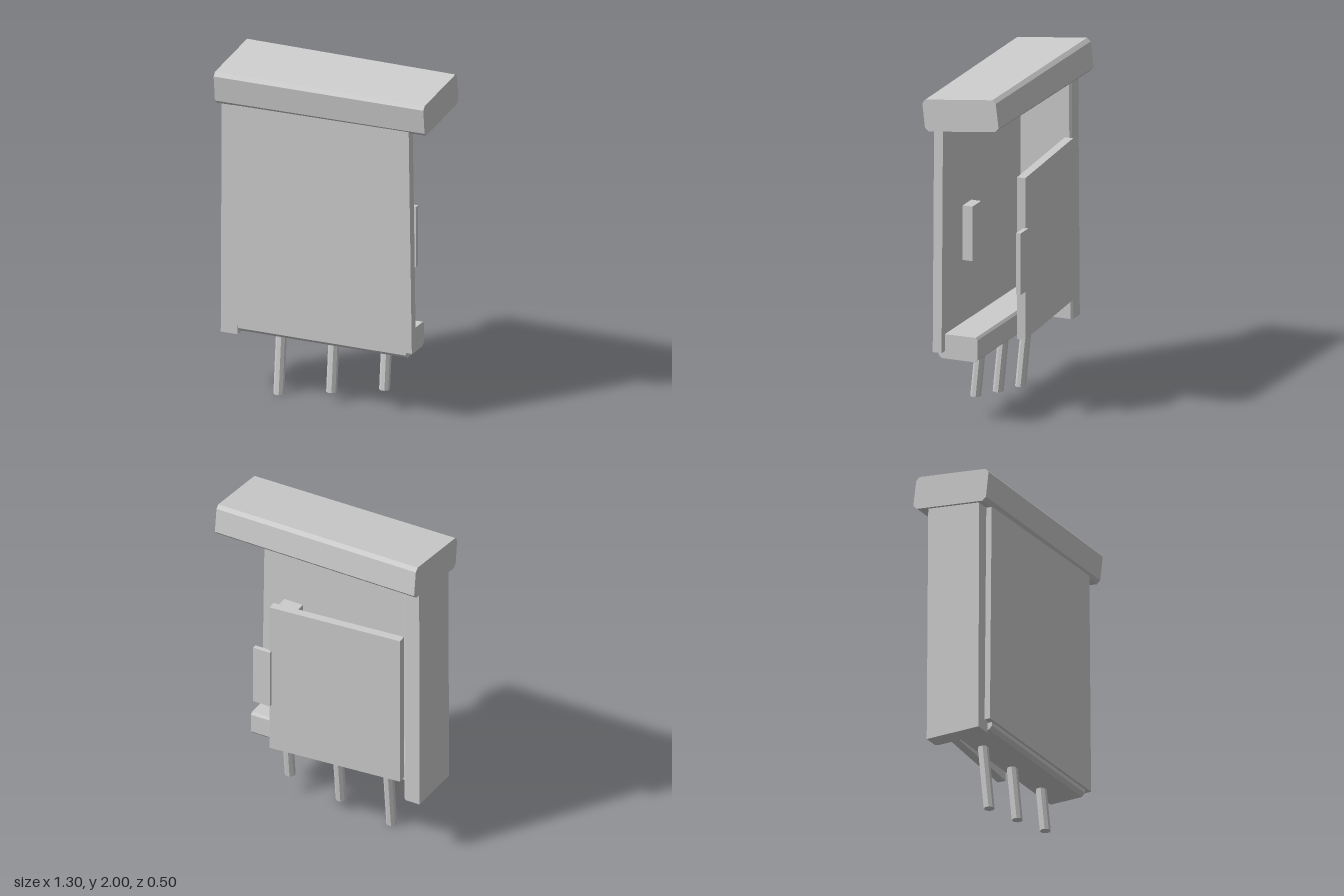
import * as THREE from 'three';

const steel = new THREE.MeshStandardMaterial({ color: 0xcccccc });
steel.name = 'pale grey steel';

function part(name, geometry) {
  const mesh = new THREE.Mesh(geometry, steel);
  mesh.name = name;
  return mesh;
}

function extrude(points, depth) {
  const shape = new THREE.Shape(points.map(([a, b]) => new THREE.Vector2(a, b)));
  const g = new THREE.ExtrudeGeometry(shape, { depth, bevelEnabled: false });
  return g.translate(0, 0, -depth / 2);
}

// Profile given as [z, y], swept along x
const sweepX = (points, length) => extrude(points, length).rotateY(-Math.PI / 2);

// Profile given as [x, z], swept from y0 to y1
const sweepY = (points, y0, y1) =>
  extrude(points.map(([x, z]) => [x, -z]), y1 - y0)
    .rotateX(-Math.PI / 2).translate(0, (y0 + y1) / 2, 0);

function block(x0, x1, y0, y1, z0, z1) {
  return new THREE.BoxGeometry(x1 - x0, y1 - y0, z1 - z0)
    .translate((x0 + x1) / 2, (y0 + y1) / 2, (z0 + z1) / 2);
}

// Move every vertex by a rule, then restore flat normals
function reshape(geometry, rule) {
  const g = geometry.index ? geometry.toNonIndexed() : geometry;
  const p = g.attributes.position;
  const v = new THREE.Vector3();
  for (let i = 0; i < p.count; i++) {
    rule(v.fromBufferAttribute(p, i));
    p.setXYZ(i, v.x, v.y, v.z);
  }
  g.computeVertexNormals();
  return g;
}

export function createModel() {
  const model = new THREE.Group();
  model.name = 'cabinet';

  // Sloping roof with chamfered edges, slightly smaller at its left end
  const roof = sweepX([
    [0.232, 1.951], [0.252, 1.928], [0.235, 1.777], [0.212, 1.757],
    [-0.215, 1.806], [-0.239, 1.83], [-0.22, 1.98], [-0.198, 2.0],
  ], 1.298);
  model.add(part('roof', reshape(roof, (v) => {
    const s = v.x > 0 ? 0.96 : 1;
    v.z *= s;
    v.y = 1.8785 + (v.y - 1.8785) * s;
  })));

  // Front panel, wider towards the bottom
  const front = block(-0.57, 0.565, 0.435, 1.79, 0.16, 0.215);
  model.add(part('frontPanel', reshape(front, (v) => { if (v.y > 1) v.x *= 0.965; })));

  // Side panel with chamfered inner back edge
  const side = sweepY([
    [-0.638, -0.158], [-0.638, 0.18], [-0.535, 0.18], [-0.535, -0.146], [-0.547, -0.158],
  ], 0.365, 1.82);
  model.add(part('sidePanel', reshape(side, (v) => {
    if (v.y > 1) {
      v.x += 0.006;
      if (v.z < 0) v.z += 0.007;
    }
  })));

  // Back door standing slightly ajar
  model.add(part('backDoor', sweepY([
    [-0.515, -0.12], [0.295, -0.185], [0.29, -0.235], [-0.519, -0.17],
  ], 0.487, 1.44)));
  model.add(part('doorHandle', block(0.28, 0.39, 0.78, 1.143, -0.25, -0.222)));

  // Small block inside the cabinet
  model.add(part('innerBlock', block(0.27, 0.39, 0.943, 1.265, 0.047, 0.108)));

  // Bottom rail with chamfered edges
  model.add(part('bottomRail', sweepX([
    [0.2, 0.535], [0.2, 0.412], [0.18, 0.392], [-0.024, 0.392],
    [-0.042, 0.41], [-0.042, 0.523], [-0.03, 0.537],
  ], 1.042)));

  // Leaning octagonal legs of uneven length
  for (const [x, bottom] of [[-0.328, 0.003], [-0.003, 0.065], [0.323, 0.13]]) {
    const top = 0.43;
    const leg = new THREE.CylinderGeometry(0.031, 0.031, top - bottom, 8)
      .rotateY(Math.PI / 8).translate(x, (top + bottom) / 2, 0);
    model.add(part('leg', reshape(leg, (v) => { v.z += 0.07 - 0.1 * v.y; })));
  }
  return model;
}
